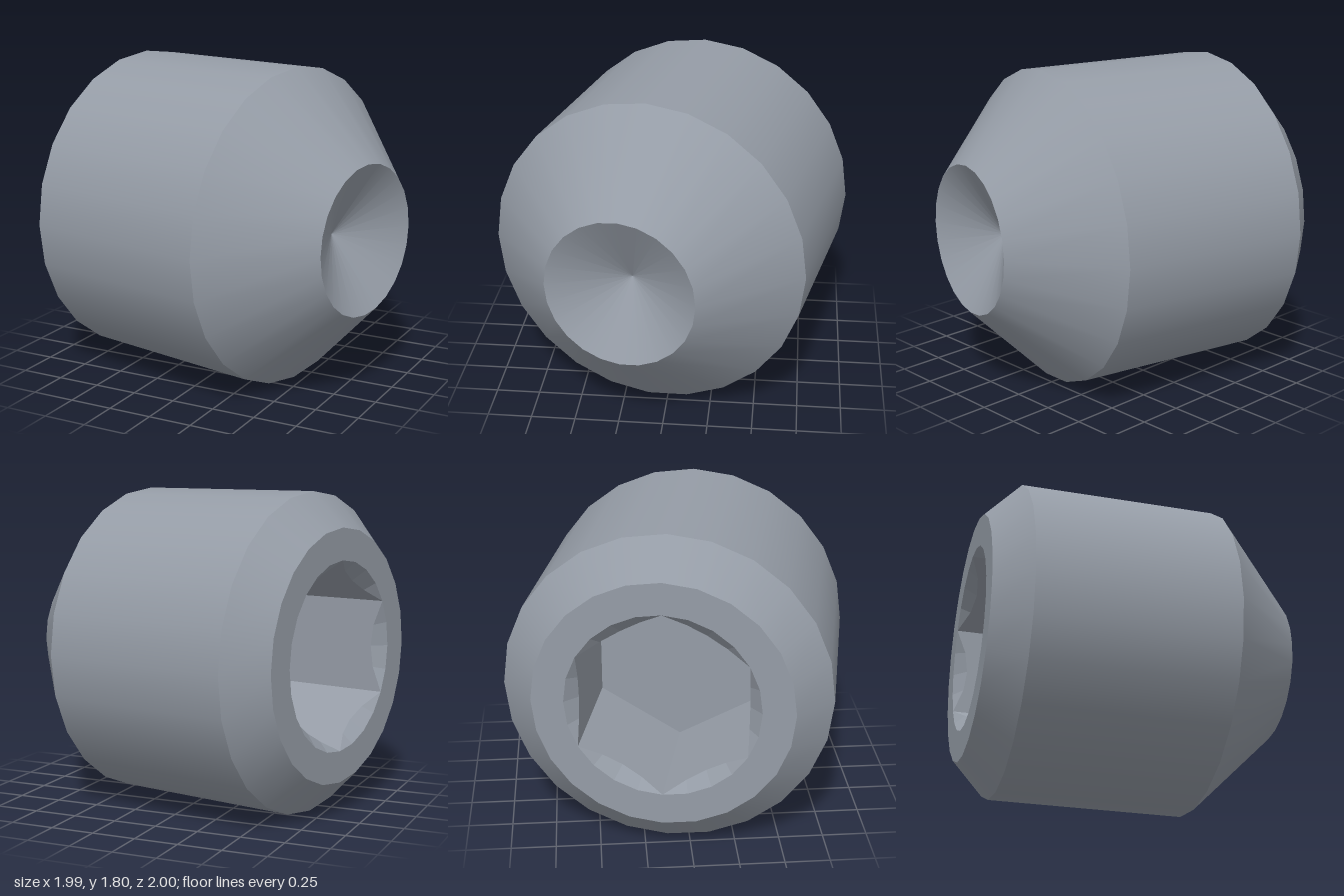
import * as THREE from 'three';

const SIDES = 24;
const BACK = -0.867, FLOOR = -0.157; // positions along the screw axis
const MOUTH = 0.53; // socket mouth radius = hexagon corner radius

// Hexagon radius at an angle, with one corner at 90 degrees
function hexRadius(phi) {
  const step = Math.PI / 3;
  const local = (((phi - Math.PI / 2) % step) + step) % step;
  return MOUTH * Math.cos(step / 2) / Math.cos(local - step / 2);
}

// Socket from the floor centre out: flat floor, six walls, conical lead-in
function socketGeometry() {
  const positions = [];
  const profile = (phi) => {
    const r = hexRadius(phi);
    return [[0, FLOOR], [r, FLOOR], [r, BACK + (MOUTH - r)], [MOUTH, BACK]]
      .map(([q, y]) => [q * Math.sin(phi), y, q * Math.cos(phi)]);
  };
  for (let i = 0; i < SIDES; i++) {
    const p = profile(Math.PI / 2 + (i / SIDES) * Math.PI * 2);
    const q = profile(Math.PI / 2 + ((i + 1) / SIDES) * Math.PI * 2);
    for (let j = 0; j < 3; j++) {
      if (j > 0) positions.push(...p[j], ...q[j], ...p[j + 1]);
      positions.push(...q[j + 1], ...p[j + 1], ...q[j]);
    }
  }
  const geometry = new THREE.BufferGeometry();
  geometry.setAttribute('position', new THREE.Float32BufferAttribute(positions, 3));
  geometry.computeVertexNormals();
  return geometry;
}

export function createModel() {
  const steel = new THREE.MeshStandardMaterial({ color: 0x959ca6 });
  steel.name = 'steel';

  const screw = new THREE.Group();
  screw.name = 'setScrew';
  const add = (name, geometry) => {
    const mesh = new THREE.Mesh(geometry, steel);
    mesh.name = name;
    screw.add(mesh);
  };

  // Turned surfaces, each its own lathe so the edges between them stay sharp
  const profile = [[MOUTH, BACK], [0.708, BACK], [0.9, -0.676], [0.9, 0.454], [0.422, 0.932], [0, 0.7]];
  const names = ['backFace', 'backChamfer', 'body', 'taperedPoint', 'cupRecess'];
  names.forEach((name, i) => {
    const points = [profile[i], profile[i + 1]].map(([r, y]) => new THREE.Vector2(r, y));
    add(name, new THREE.LatheGeometry(points, SIDES));
  });
  add('hexSocket', socketGeometry());

  // Lay the axis down along +x, turned 12 degrees towards the front
  screw.rotation.set(0, -THREE.MathUtils.degToRad(12), -Math.PI / 2);
  screw.position.set(-0.004, 0.9, 0.02);

  const model = new THREE.Group();
  model.name = 'model';
  model.add(screw);
  return model;
}
